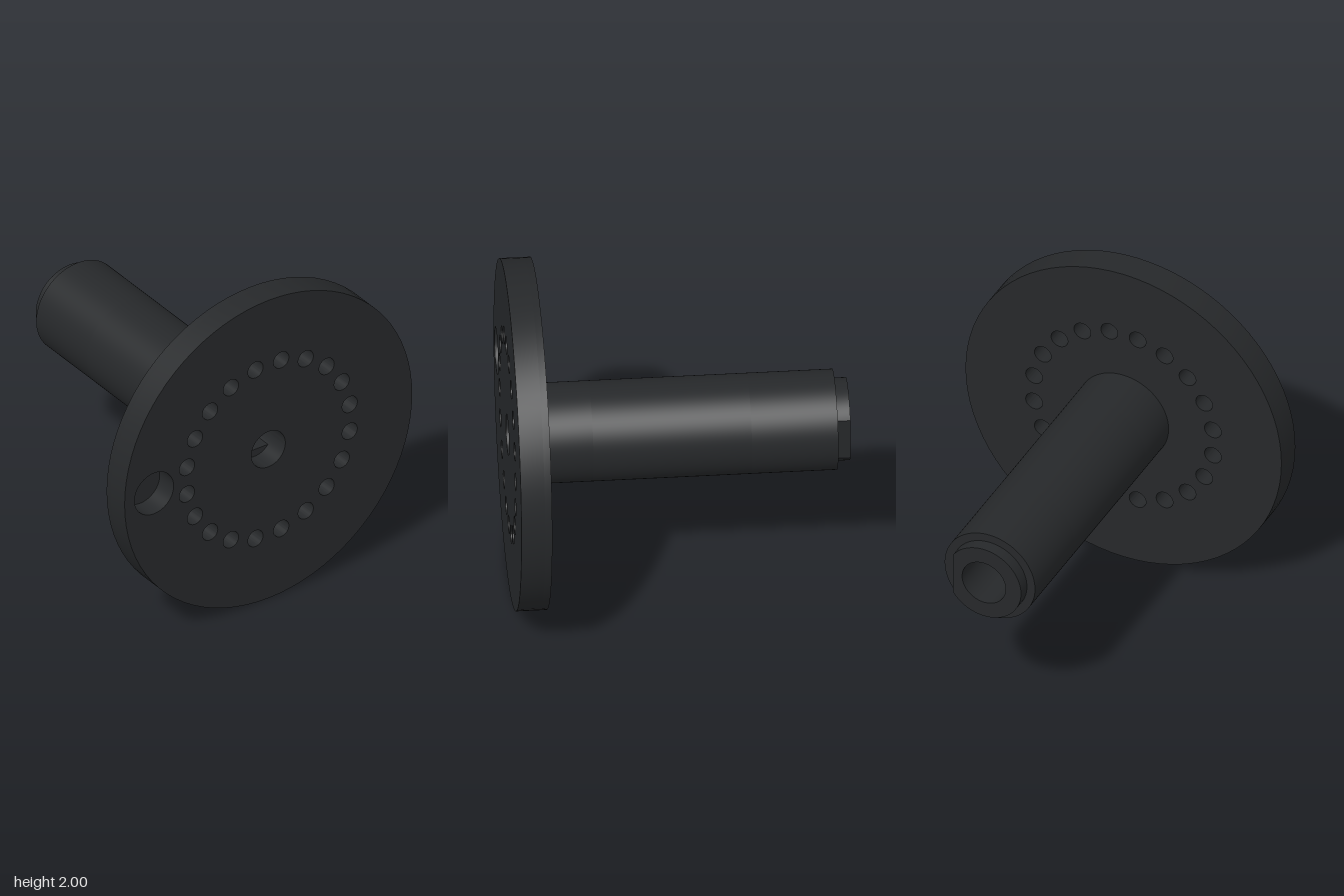
import * as THREE from 'three';
import { toCreasedNormals } from 'three/addons/utils/BufferGeometryUtils.js';

const material = new THREE.MeshStandardMaterial({ color: 0x26282a });

function circle(r, u = 0, v = 0, Type = THREE.Path) {
  const p = new Type();
  p.absarc(u, v, r, 0, Math.PI * 2, false);
  return p;
}

// Round bore with two flats, above and below
function doubleFlat(r, h) {
  const a = Math.asin(h / r);
  const p = new THREE.Path();
  p.absarc(0, 0, r, -a, a, false);
  p.absarc(0, 0, r, Math.PI - a, Math.PI + a, false);
  p.closePath();
  return p;
}

// Extrude a profile along x from x0 to x1 (profile u = -z, v = y)
function slab(name, shape, holes, x0, x1) {
  shape.holes.push(...holes);
  const raw = new THREE.ExtrudeGeometry(shape, { depth: x1 - x0, bevelEnabled: false, curveSegments: 40 });
  const geo = toCreasedNormals(raw, 0.5);
  geo.rotateY(Math.PI / 2);
  geo.translate(x0, 1, 0);
  const mesh = new THREE.Mesh(geo, material);
  mesh.name = name;
  return mesh;
}

export function createModel() {
  const group = new THREE.Group();
  group.name = 'flangedShaft';
  const round = (r) => circle(r, 0, 0, THREE.Shape);

  // Ring of 20 through holes
  const ringHoles = () => Array.from({ length: 20 }, (_, i) => {
    const a = ((i + 0.5) * Math.PI) / 10;
    return circle(0.053, 0.573 * Math.cos(a), 0.573 * Math.sin(a));
  });

  // Disc: the back layer closes the blind side hole
  group.add(slab('discFront', round(1), [...ringHoles(), circle(0.118), circle(0.136, -0.795)], 0.83, 0.965));
  group.add(slab('discBack', round(1), [...ringHoles(), doubleFlat(0.118, 0.072)], 0.79, 0.83));

  // Shaft: keyed socket at the disc, solid core, round bore at the far end
  group.add(slab('shaftSocket', round(0.286), [doubleFlat(0.118, 0.072)], 0.5, 0.79));
  group.add(slab('shaftCore', round(0.286), [], -0.4, 0.5));
  group.add(slab('shaftBore', round(0.286), [circle(0.138)], -0.89, -0.4));

  // Reduced tip with one flat at the back
  const a = Math.acos(0.195 / 0.235);
  const tip = new THREE.Shape();
  tip.absarc(0, 0, 0.235, a, Math.PI * 2 - a, false);
  tip.closePath();
  group.add(slab('shaftTip', tip, [circle(0.138)], -0.965, -0.89));

  return group;
}
